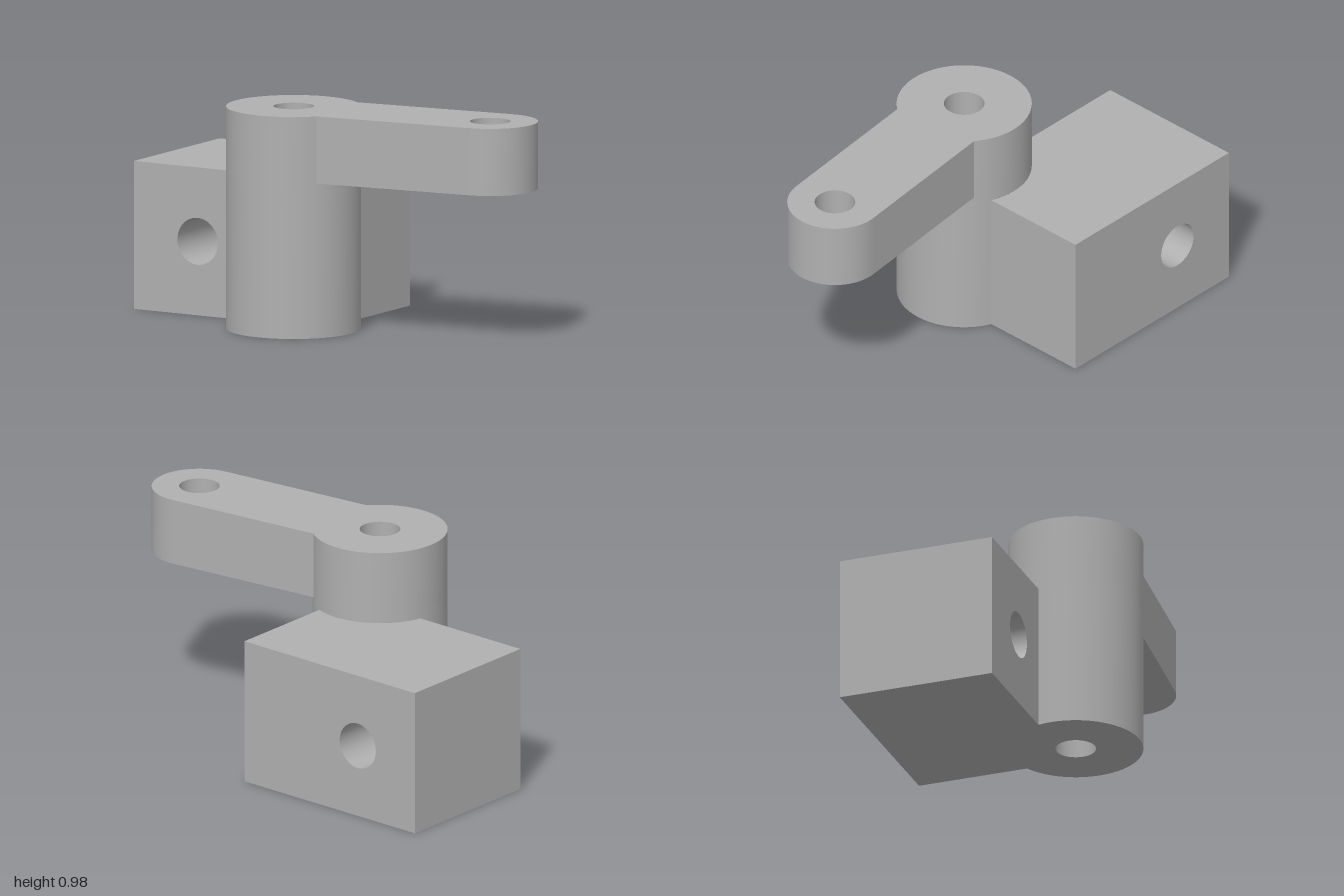
import * as THREE from 'three';

const TAU = Math.PI * 2;
const V = (x, z) => new THREE.Vector2(x, z);

// Points on a plan arc (x, z); angle runs from +x towards +z
function arc(c, r, a0, a1) {
  const n = Math.max(2, Math.ceil(Math.abs(a1 - a0) / TAU * 80));
  return Array.from({ length: n + 1 }, (_, i) => {
    const a = a0 + (a1 - a0) * i / n;
    return V(c.x + r * Math.cos(a), c.y + r * Math.sin(a));
  });
}

// Turn a surface inside out
function flip(g) {
  const ix = g.index.array;
  for (let i = 0; i < ix.length; i += 3) [ix[i], ix[i + 1]] = [ix[i + 1], ix[i]];
  const n = g.attributes.normal.array;
  for (let i = 0; i < n.length; i++) n[i] = -n[i];
  return g;
}

// Flat face from an outline with round holes [centre, radius]
function face(points, holes) {
  const shape = new THREE.Shape(points);
  for (const [c, r] of holes) shape.holes.push(new THREE.Path(arc(c, r, TAU, 0).slice(0, -1)));
  return new THREE.ShapeGeometry(shape);
}

// Horizontal face at height y, outline given in (x, z)
function cap(points, y, up, holes = []) {
  const g = face(points, holes).rotateX(Math.PI / 2).translate(0, y, 0);
  return up ? flip(g) : g;
}

// Vertical wall along a plan path, smooth along the path
function wall(path, y0, y1) {
  const pos = [], index = [];
  path.forEach((p, i) => {
    pos.push(p.x, y0, p.y, p.x, y1, p.y);
    const k = i * 2;
    if (i < path.length - 1) index.push(k, k + 1, k + 2, k + 1, k + 3, k + 2);
  });
  const g = new THREE.BufferGeometry();
  g.setAttribute('position', new THREE.Float32BufferAttribute(pos, 3));
  g.setIndex(index);
  g.computeVertexNormals();
  return g;
}

// Inner surface of a drilled hole, upright and centred
const bore = (r, length) => flip(new THREE.CylinderGeometry(r, r, length, 64, 1, true));

export function createModel() {
  const group = new THREE.Group();
  const grey = new THREE.MeshStandardMaterial({ color: 0xb0b0b0 });
  grey.name = 'grey';
  const part = (name, ...geometries) => {
    const g = new THREE.Group();
    g.name = name;
    geometries.forEach((geo) => {
      const m = new THREE.Mesh(geo, grey);
      m.name = name + 'Face';
      g.add(m);
    });
    group.add(g);
  };

  // Main dimensions
  const hub = V(-0.145, 0.235), hubR = 0.293, top = 0.975;
  const pin = V(0.79, 0.125), armR = 0.207, armY = 0.68, holeR = 0.088;
  const x0 = -1, x1 = -0.03, zBack = -0.535, zFront = 0.17, blockY = 0.65;
  const crossHole = [V(-0.675, 0.325), 0.103];

  // Angles where block and arm meet the hub
  const aRight = -Math.acos((x1 - hub.x) / hubR);
  const aFront = Math.PI + Math.asin((hub.y - zFront) / hubR);
  const dir = Math.atan2(pin.y - hub.y, pin.x - hub.x);
  const spread = Math.asin(armR / hubR);

  const lowArc = arc(hub, hubR, aRight, aFront);
  const highArc = arc(hub, hubR, dir + spread, dir - spread + TAU);
  const endArc = arc(pin, armR, dir - Math.PI / 2, dir + Math.PI / 2);
  const rightHit = lowArc[0], frontHit = lowArc[lowArc.length - 1];
  const corners = [V(x0, zFront), V(x0, zBack), V(x1, zBack)];
  const hubHole = [hub, holeR], pinHole = [pin, holeR];

  // Hub with its through bore
  part('hub',
    wall(lowArc, 0, blockY),
    wall(arc(hub, hubR, 0, TAU), blockY, armY),
    wall(highArc, armY, top),
    bore(holeR, top).translate(hub.x, top / 2, hub.y));

  // Shared flat faces: underside of hub and block, top of hub and arm
  part('underside', cap([...corners, ...lowArc], 0, false, [hubHole]));
  part('topFace', cap([...endArc, ...highArc], top, true, [hubHole, pinHole]));

  // Arm with rounded end
  part('arm',
    cap([...endArc, ...arc(hub, hubR, dir + spread, dir - spread)], armY, false),
    wall(endArc, armY, top),
    wall([highArc[highArc.length - 1], endArc[0]], armY, top),
    wall([endArc[endArc.length - 1], highArc[0]], armY, top),
    bore(holeR, top - armY).translate(pin.x, (top + armY) / 2, pin.y));

  // Mounting block with cross hole
  const upright = (right) => face(
    [V(x0, 0), V(right, 0), V(right, blockY), V(x0, blockY)], [crossHole]);
  part('mountingBlock',
    cap([...corners, ...arc(hub, hubR, aRight, aFront - TAU)], blockY, true),
    wall([corners[0], corners[1]], 0, blockY),
    wall([corners[2], rightHit], 0, blockY),
    upright(frontHit.x).translate(0, 0, zFront),
    flip(upright(x1)).translate(0, 0, zBack),
    bore(crossHole[1], zFront - zBack).rotateX(Math.PI / 2)
      .translate(crossHole[0].x, crossHole[0].y, (zFront + zBack) / 2));

  return group;
}
